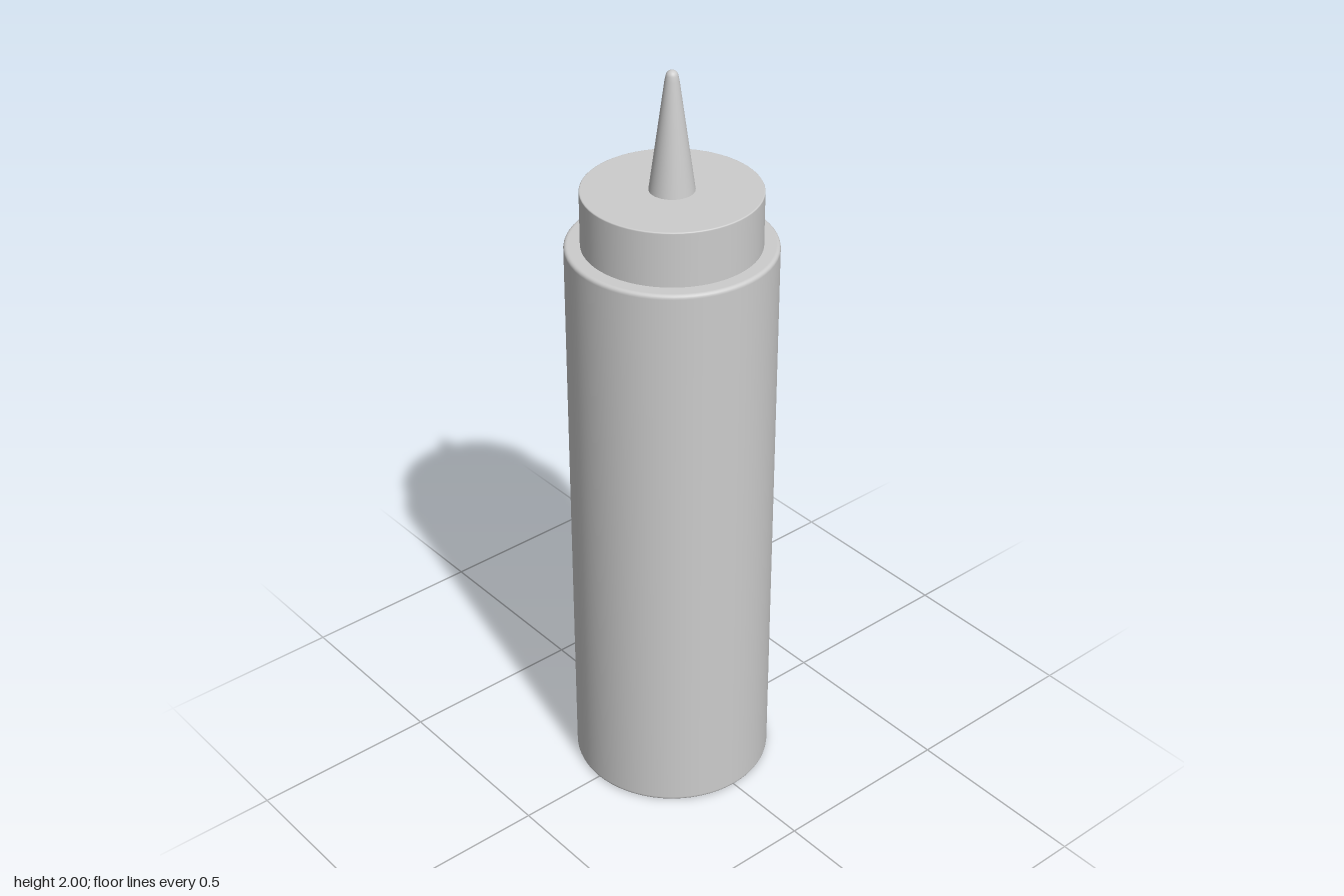
import * as THREE from 'three';

const SEGMENTS = 64;

// Appends a quarter-round from angle a0 to a1 (degrees) about (cx, cy)
function arc(points, cx, cy, r, a0, a1, steps = 5) {
  for (let i = 0; i <= steps; i++) {
    const a = THREE.MathUtils.degToRad(a0 + ((a1 - a0) * i) / steps);
    points.push(new THREE.Vector2(Math.max(0, cx + r * Math.cos(a)), cy + r * Math.sin(a)));
  }
}

// Closed cylinder profile with softened rims; extra rings keep the flats flat
function roundedDrum(radius, y0, y1, bevel) {
  const inner = radius - bevel;
  const p = [new THREE.Vector2(0, y0), new THREE.Vector2(inner - 0.002, y0)];
  arc(p, inner, y0 + bevel, bevel, -90, 0);
  p.push(new THREE.Vector2(radius, y0 + bevel + 0.002), new THREE.Vector2(radius, y1 - bevel - 0.002));
  arc(p, inner, y1 - bevel, bevel, 0, 90);
  p.push(new THREE.Vector2(inner - 0.002, y1), new THREE.Vector2(0, y1));
  return p;
}

export function createModel() {
  const group = new THREE.Group();
  group.name = 'squeezeBottle';
  const plastic = new THREE.MeshStandardMaterial({ color: 0xcccccc });
  plastic.name = 'grey plastic';

  const addLathe = (name, profile) => {
    const mesh = new THREE.Mesh(new THREE.LatheGeometry(profile, SEGMENTS), plastic);
    mesh.name = name;
    group.add(mesh);
  };

  // Tall body and the narrower screw cap
  addLathe('body', roundedDrum(0.262, 0, 1.552, 0.009));
  addLathe('cap', roundedDrum(0.222, 1.545, 1.695, 0.003));

  // Tapered nozzle with a rounded tip
  const tip = 0.015;
  const nozzle = [new THREE.Vector2(0.057, 1.69), new THREE.Vector2(0.0175, 1.975)];
  arc(nozzle, 0, 2 - tip, tip, 8, 90, 7);
  addLathe('nozzle', nozzle);

  return group;
}
